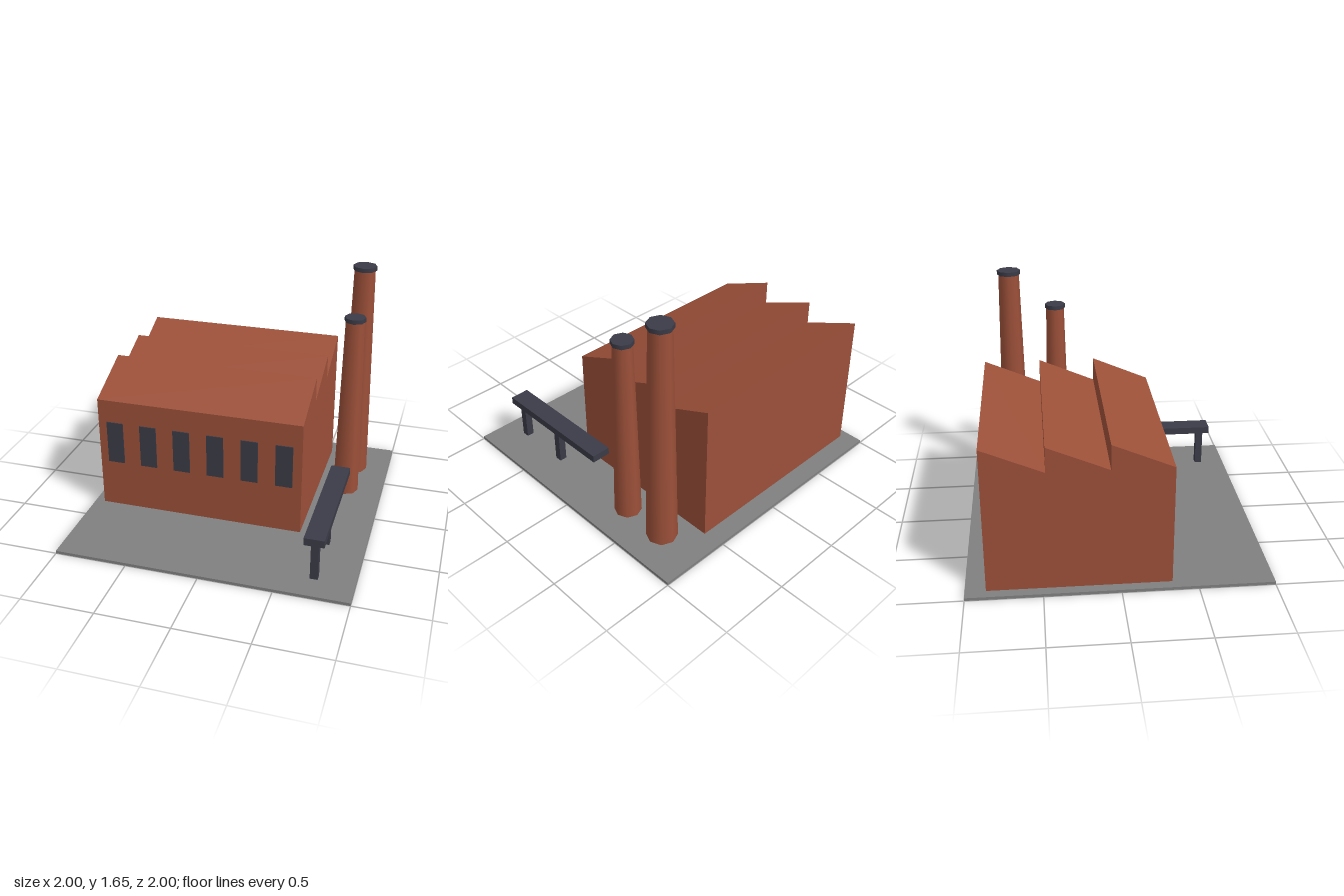
import * as THREE from 'three';

const material = (name, color) => {
  const m = new THREE.MeshStandardMaterial({ color });
  m.name = name;
  return m;
};

export function createModel() {
  const group = new THREE.Group();
  const brick = material('brick', 0x9c5039);
  const concrete = material('concrete', 0x808080);
  const darkSteel = material('darkSteel', 0x3b3b48);

  const add = (name, geometry, mat, x, y, z) => {
    const mesh = new THREE.Mesh(geometry, mat);
    mesh.name = name;
    mesh.position.set(x, y, z);
    group.add(mesh);
  };
  const box = (name, mat, w, h, d, x, y, z) =>
    add(name, new THREE.BoxGeometry(w, h, d), mat, x, y, z);

  const ground = 0.02;
  box('groundSlab', concrete, 2, ground, 2, 0, ground / 2, 0);

  // Factory hall: sawtooth side profile extruded along x
  const eave = 0.85, ridge = 1.02, frontZ = 0.335, tooth = 0.4;
  const profile = new THREE.Shape();
  profile.moveTo(-frontZ + 3 * tooth, ground);
  profile.lineTo(-frontZ + 3 * tooth, ridge);
  for (let i = 2; i >= 0; i--) {
    profile.lineTo(-frontZ + i * tooth, eave);
    if (i > 0) profile.lineTo(-frontZ + i * tooth, ridge);
  }
  profile.lineTo(-frontZ, ground);
  const hall = new THREE.ExtrudeGeometry(profile, { depth: 1.465, bevelEnabled: false });
  hall.rotateY(Math.PI / 2);
  add('factoryHall', hall, brick, -0.933, 0, 0);

  // Row of front windows
  for (let i = 0; i < 6; i++) {
    box('window', darkSteel, 0.12, 0.313, 0.009, -0.812 + i * 0.244, 0.528, frontZ + 0.003);
  }

  // Tapered chimneys with caps
  const chimney = (z, top, bottomR, topR, capR) => {
    const h = top - 0.03 - ground;
    add('chimney', new THREE.CylinderGeometry(topR, bottomR, h, 8), brick, 0.733, ground + h / 2, z);
    add('chimneyCap', new THREE.CylinderGeometry(capR, capR, 0.03, 8), darkSteel, 0.733, top - 0.015, z);
  };
  chimney(-0.667, 1.655, 0.106, 0.075, 0.085);
  chimney(-0.333, 1.39, 0.093, 0.066, 0.075);

  // Conveyor and its legs
  box('conveyor', darkSteel, 0.135, 0.052, 0.933, 0.73, 0.326, 0.4);
  for (const z of [0.8, 0.403]) {
    box('conveyorLeg', darkSteel, 0.052, 0.27, 0.052, 0.73, ground + 0.135, z);
  }
  return group;
}
